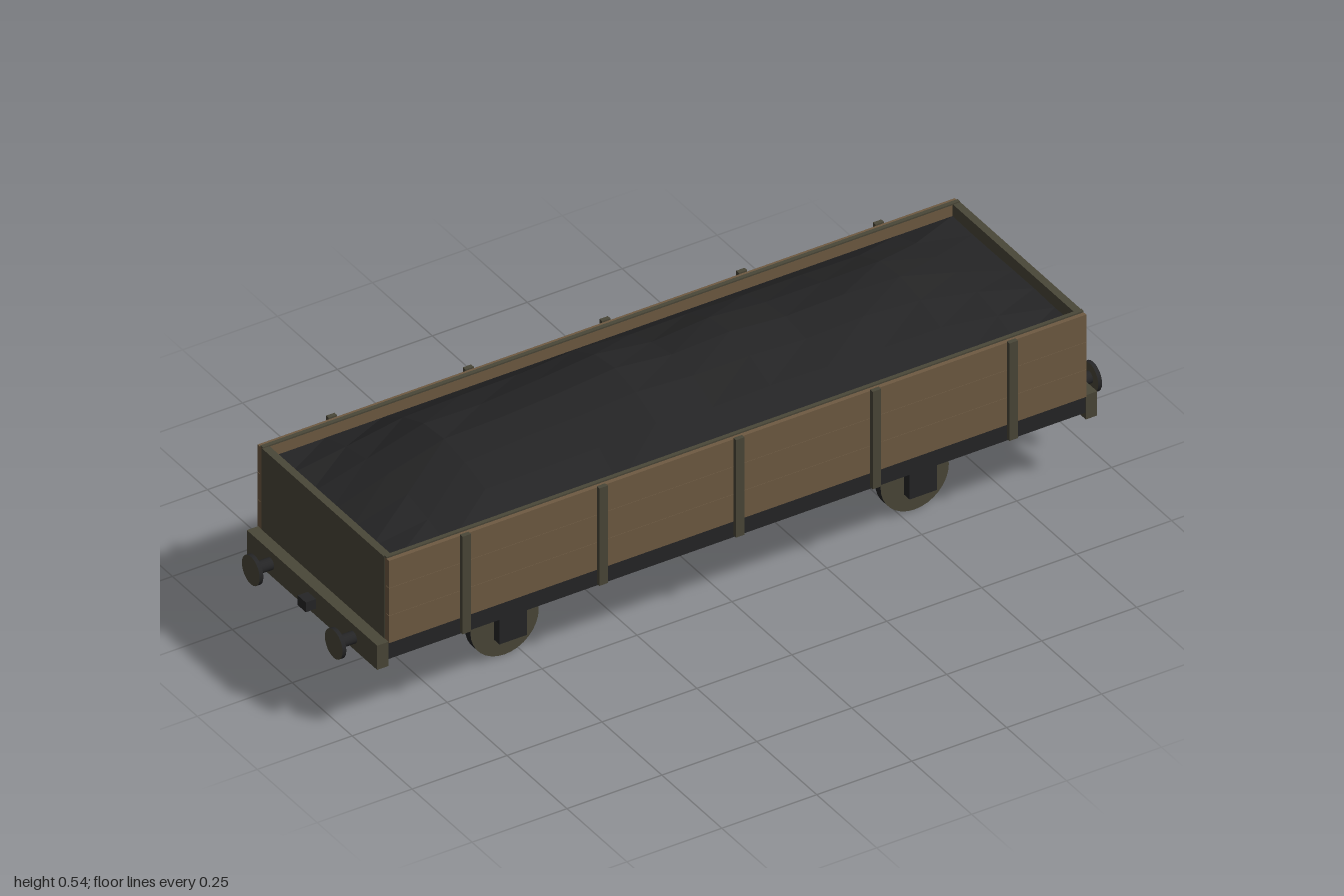
import * as THREE from 'three';

const mat = (name, color) => {
  const m = new THREE.MeshStandardMaterial({ color });
  m.name = name;
  return m;
};

export function createModel() {
  const wood = mat('brown planks', 0x6e5a42);
  const olive = mat('olive iron', 0x4a4738);
  const dark = mat('dark iron', 0x252526);
  const coal = mat('coal', 0x242425);
  const wagon = new THREE.Group();
  wagon.name = 'openWagon';

  const add = (name, geometry, material, x, y, z) => {
    const mesh = new THREE.Mesh(geometry, material);
    mesh.name = name;
    mesh.position.set(x, y, z);
    wagon.add(mesh);
    return mesh;
  };
  // Box given by its limits on each axis
  const box = (name, m, x0, x1, y0, y1, z0, z1) => add(name,
    new THREE.BoxGeometry(Math.abs(x1 - x0), y1 - y0, Math.abs(z1 - z0)), m,
    (x0 + x1) / 2, (y0 + y1) / 2, (z0 + z1) / 2);
  // Cylinders lying along z or x
  const discZ = (r, t) => new THREE.CylinderGeometry(r, r, t, 32).rotateX(Math.PI / 2);
  const discX = (r, t) => new THREE.CylinderGeometry(r, r, t, 24).rotateZ(Math.PI / 2);

  box('chassis', dark, -0.918, 0.918, 0.19, 0.235, -0.27, 0.27);

  for (const s of [-1, 1]) {
    // Side: three planks, a thin top rail and five stakes
    for (let i = 0; i < 3; i++) {
      const y = 0.235 + i * 0.074;
      box('sidePlank', wood, -0.918, 0.918, y, y + 0.0732, s * 0.255, s * 0.274);
    }
    box('topRail', olive, -0.918, 0.918, 0.4562, 0.46, s * 0.253, s * 0.263);
    for (let i = -2; i <= 2; i++) {
      box('stake', olive, i * 0.36 - 0.011, i * 0.36 + 0.011, 0.198, 0.46, s * 0.274, s * 0.285);
    }

    // End: panel, buffer beam, coupling and two buffers
    box('endPanel', olive, s * 0.9, s * 0.919, 0.235, 0.457, -0.257, 0.257);
    box('bufferBeam', olive, s * 0.918, s * 0.948, 0.173, 0.238, -0.272, 0.272);
    box('coupling', dark, s * 0.948, s * 0.975, 0.192, 0.218, -0.017, 0.017);
    for (const z of [-0.173, 0.173]) {
      add('bufferShank', discX(0.015, 0.044), dark, s * 0.97, 0.205, z);
      add('bufferHead', discX(0.037, 0.01), [dark, olive, olive], s * 0.995, 0.205, z);
    }

    // Running gear at both wheelsets
    for (const x of [-0.54, 0.54]) {
      add('wheel', discZ(0.09, 0.023), [dark, olive, olive], x, 0.092, s * 0.1455);
      add('hub', discZ(0.02, 0.008), olive, x, 0.095, s * 0.161);
      box('axleBox', dark, x - 0.036, x + 0.036, 0.062, 0.133, s * 0.17, s * 0.193);
      box('spring', olive, x - 0.15, x + 0.15, 0.142, 0.162, s * 0.17, s * 0.193);
    }
  }

  // Coal heap: ridge heights along x, scaled down towards the sides
  const edge = 0.425;
  const ridge = [0.425, 0.472, 0.513, 0.517, 0.527, 0.541, 0.524, 0.531, 0.518, 0.522, 0.517, 0.474, 0.425];
  const across = [0, 0.56, 0.88, 1, 0.88, 0.56, 0];
  const heap = new THREE.PlaneGeometry(1.8, 0.512, 12, 6).rotateX(-Math.PI / 2);
  const pos = heap.attributes.position;
  for (let k = 0; k < pos.count; k++) {
    const i = k % 13, j = Math.floor(k / 13);
    const lumps = j === 3 ? 0 : 0.004 * across[j] * Math.sin(i * 2.3 + j * 1.7);
    pos.setY(k, edge + (ridge[i] - edge) * across[j] + lumps);
  }
  const flatHeap = heap.toNonIndexed();
  flatHeap.computeVertexNormals();
  coal.flatShading = true;
  coal.side = THREE.DoubleSide;
  add('coalHeap', flatHeap, coal, 0, 0, 0);

  return wagon;
}
